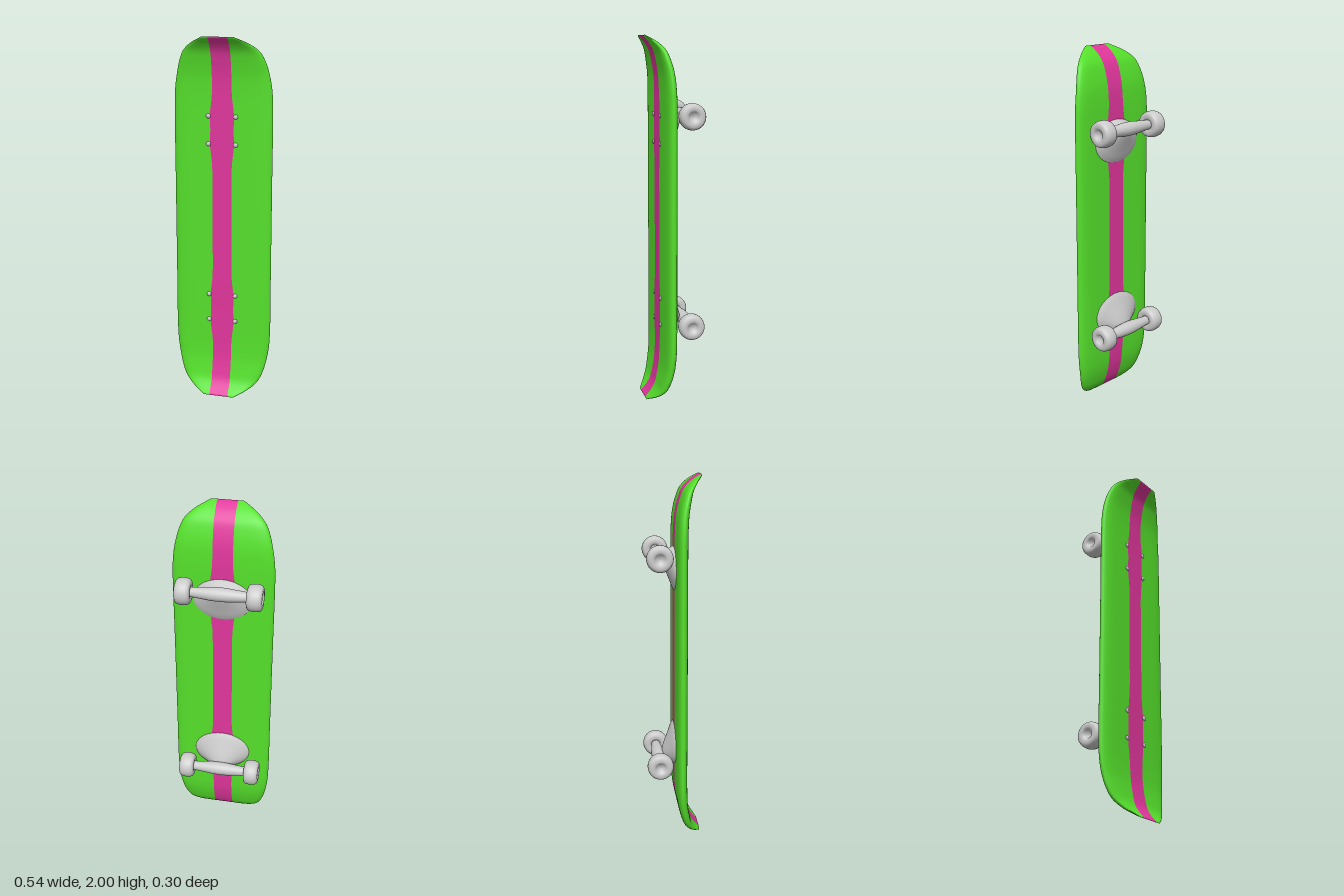
import * as THREE from 'three';

const material = (color) => new THREE.MeshStandardMaterial({ color, roughness: 0.7 });
const v2 = (pts) => pts.map(([x, y]) => new THREE.Vector2(x, y));

// Deck stations from the middle to a tip: distance along, half width, bend
const outline = new THREE.CatmullRomCurve3([
  [0, 0.27, 0.038], [0.3, 0.27, 0.038], [0.62, 0.27, 0.038], [0.72, 0.265, 0.04], [0.8, 0.252, 0.046],
  [0.87, 0.233, 0.06], [0.92, 0.208, 0.076], [0.96, 0.163, 0.104], [1, 0.085, 0.15],
].map((p) => new THREE.Vector3(...p)), false, 'centripetal');

// Stripe half width swells beside the bolts
const bump = (u, c) => Math.exp(-(((u - c) / 0.08) ** 2));
const stripeWidth = (u) => 0.053 + 0.013 * (bump(u, 0.43) + bump(u, 0.58));

// Regular grid of points, columns running left to right as seen from outside
function gridSurface(rows, cols, pointAt) {
  const pos = [], index = [];
  for (let i = 0; i <= rows; i++) {
    for (let j = 0; j <= cols; j++) {
      pos.push(...pointAt(i / rows, j / cols));
      if (i < rows && j < cols) {
        const a = i * (cols + 1) + j, b = a + cols + 1;
        index.push(a, a + 1, b + 1, a, b + 1, b);
      }
    }
  }
  const g = new THREE.BufferGeometry();
  g.setAttribute('position', new THREE.Float32BufferAttribute(pos, 3));
  g.setIndex(index);
  g.computeVertexNormals();
  return g;
}

// Deck panel; section(v, w, s) returns x and the face (+1 front, -1 back)
function deckPanel(cols, section) {
  return gridSurface(120, cols, (r, v) => {
    const along = r * 2 - 1;
    const p = outline.getPoint(Math.abs(along));
    const [x, face] = section(v, p.y, stripeWidth(p.x));
    const f = Math.min(1, Math.abs(x) / p.y);
    const t = 0.029 * Math.sqrt(Math.max(0, 1 - p.x ** 10)) * Math.sqrt(1 - f ** 8);
    return [x, 1 + Math.sign(along) * p.x, p.z + face * t];
  });
}

// Oval truck base rising in a leaning bell to the axle
function baseGeometry(lean) {
  const profile = [[1, 0.012], [0.98, 0.004], [0.8, -0.01], [0.6, -0.025], [0.42, -0.04], [0.25, -0.052], [0.1, -0.059], [0, -0.06]];
  return gridSurface(profile.length - 1, 40, (r, v) => {
    const [s, z] = profile[Math.round(r * (profile.length - 1))];
    const a = -v * Math.PI * 2;
    return [0.158 * s * Math.cos(a), 0.118 * s * Math.sin(a) + lean * (1 - s), z];
  });
}

export function createModel() {
  const model = new THREE.Group();
  model.name = 'skateboard';
  const green = material(0x55e02b), pink = material(0xe0369c), grey = material(0xcccccc);
  const add = (parent, name, geometry, mat) => {
    const mesh = new THREE.Mesh(geometry, mat);
    mesh.name = name;
    parent.add(mesh);
    return mesh;
  };

  // Deck sides, wrapping round the rounded rim
  const deck = new THREE.Group();
  deck.name = 'deck';
  model.add(deck);
  for (const side of [1, -1]) {
    add(deck, side > 0 ? 'deckLeft' : 'deckRight', deckPanel(32, (v, w, s) => {
      const k = side > 0 ? v : 1 - v;
      const x = s + (w - s) * Math.sin(k * Math.PI);
      return [side * x, k <= 0.5 ? 1 : -1];
    }), green);
  }

  // Centre stripe on both faces
  for (const face of [1, -1]) {
    add(deck, face > 0 ? 'frontStripe' : 'backStripe',
      deckPanel(6, (v, w, s) => [face * (2 * v - 1) * s, face]), pink);
  }

  // Trucks and wheels
  const half = [[0.018, 0.022], [0.027, 0.035], [0.038, 0.041], [0.054, 0.04], [0.064, 0.034], [0.069, 0.022], [0.071, 0.008]];
  const wheelProfile = [[0, -0.02], ...half.map(([r, y]) => [r, -y]), ...half.slice().reverse(), [0, 0.02]];
  const wheelGeometry = new THREE.LatheGeometry(v2(wheelProfile), 40).rotateZ(Math.PI / 2);
  const axleProfile = [[0.025, -0.18], [0.026, -0.145], [0.031, -0.09], [0.036, -0.04], [0.037, 0],
    [0.036, 0.04], [0.031, 0.09], [0.026, 0.145], [0.025, 0.18]];
  const axleGeometry = new THREE.LatheGeometry(v2(axleProfile), 28).rotateZ(Math.PI / 2);
  for (const [label, baseY, axleY] of [['upper', 1.502, 1.58], ['lower', 0.512, 0.438]]) {
    const truck = new THREE.Group();
    truck.name = label + 'Truck';
    model.add(truck);
    add(truck, 'truckBase', baseGeometry(axleY - baseY), grey).position.y = baseY;
    add(truck, 'axle', axleGeometry, grey).position.set(0, axleY, -0.079);
    for (const side of [1, -1]) {
      add(truck, side > 0 ? 'leftWheel' : 'rightWheel', wheelGeometry, grey)
        .position.set(side * 0.187, axleY, -0.079);
    }
  }

  // Bolt heads on the front face
  const boltGeometry = new THREE.SphereGeometry(0.013, 16, 10).scale(1, 1, 0.6);
  for (const y of [1.58, 1.43, 0.578, 0.428]) {
    for (const x of [0.075, -0.075]) add(model, 'bolt', boltGeometry, grey).position.set(x, y, 0.066);
  }
  return model;
}
